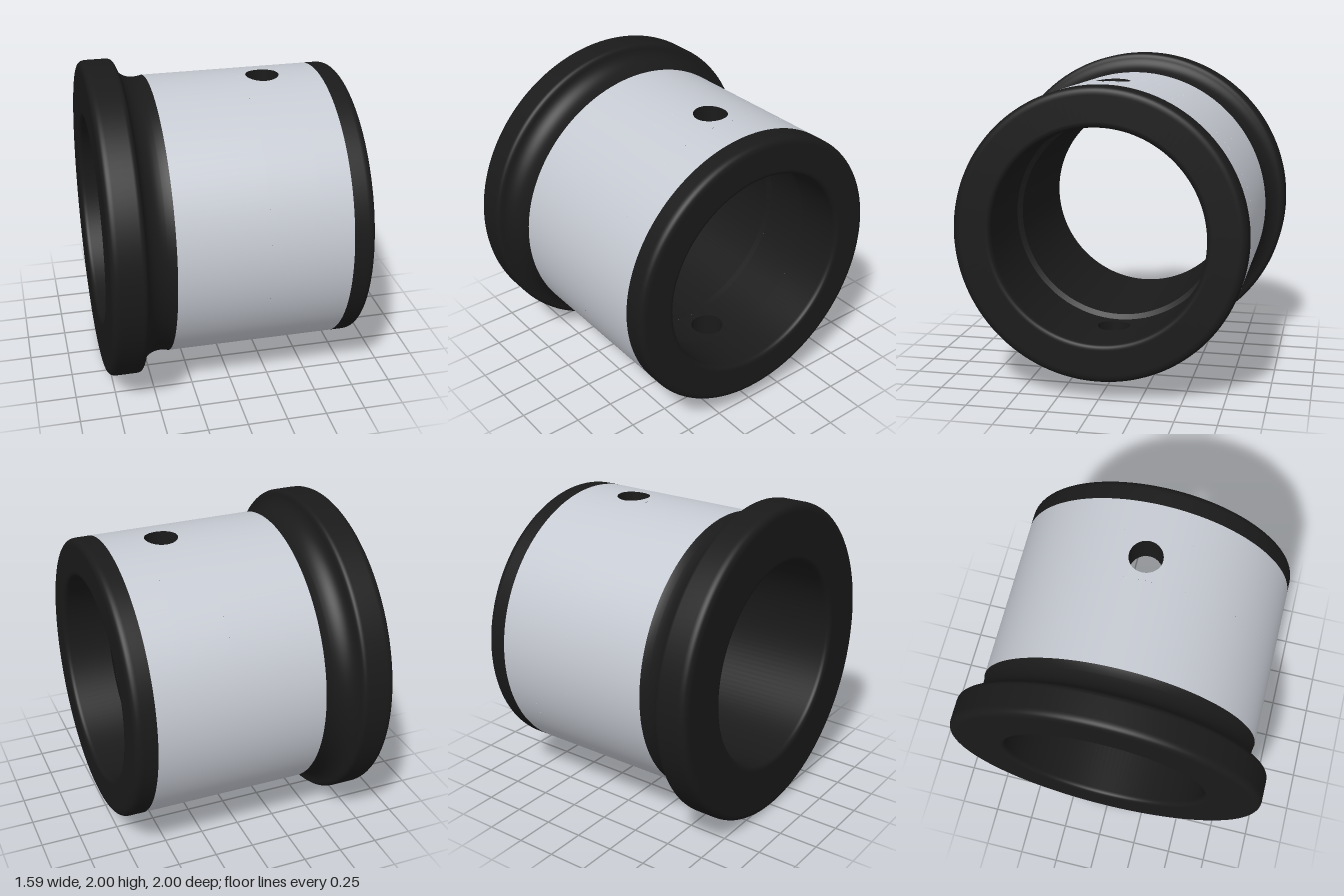
import * as THREE from 'three';

const HOLE_X = 0.31, HOLE_R = 0.103, HALF = 0.15; // radial holes and the square patch around them
const OUTER = 0.883, BORE = 0.645, GROOVE = 0.675;

// Turn a profile of (radius, axial position) points about the x axis
function turn(points, start = 0, length = Math.PI * 2, segments = 128) {
  return new THREE.LatheGeometry(points, segments, start, length).rotateZ(-Math.PI / 2);
}
const line = (...pairs) => pairs.map(([x, r]) => new THREE.Vector2(r, x));

// Square piece of cylinder wall with a round hole; sign -1 faces the axis
function holePatch(radius, sign) {
  const geo = new THREE.PlaneGeometry(1, 1, 64, 6);
  const pos = geo.attributes.position, nor = geo.attributes.normal;
  for (let i = 0; i < pos.count; i++) {
    const a = sign * (pos.getX(i) + 0.5) * Math.PI * 2, t = pos.getY(i) + 0.5;
    const c = Math.cos(a), s = Math.sin(a);
    const edge = HALF / Math.max(Math.abs(c), Math.abs(s));
    const rho = HOLE_R + (edge - HOLE_R) * t;
    const z = rho * s, y = Math.sqrt(radius * radius - z * z);
    pos.setXYZ(i, HOLE_X + rho * c, y, z);
    nor.setXYZ(i, 0, sign * y / radius, sign * z / radius);
  }
  return geo;
}

// Wall of a drilled hole, its rims following both cylinders
function holeWall() {
  const geo = new THREE.CylinderGeometry(HOLE_R, HOLE_R, 1, 64, 1, true);
  const pos = geo.attributes.position;
  for (let i = 0; i < pos.count; i++) {
    const r = pos.getY(i) > 0 ? OUTER : GROOVE, z = pos.getZ(i);
    pos.setXYZ(i, pos.getX(i) + HOLE_X, Math.sqrt(r * r - z * z), z);
  }
  return geo;
}

export function createModel() {
  const group = new THREE.Group();
  const black = new THREE.MeshStandardMaterial({ color: 0x1a1a1a });
  const silver = new THREE.MeshStandardMaterial({ color: 0xc6cad2 });
  const blackOpen = new THREE.MeshStandardMaterial({ color: 0x1a1a1a, side: THREE.DoubleSide });

  const add = (name, geometry, material) => {
    const mesh = new THREE.Mesh(geometry, material);
    mesh.name = name;
    group.add(mesh);
    return mesh;
  };

  // Flanged end: bore, end face, rounded rim and concave neck
  const flange = new THREE.Path();
  flange.moveTo(BORE, 0.135);
  flange.lineTo(BORE, -0.76);
  flange.quadraticCurveTo(BORE, -0.795, BORE + 0.035, -0.795);
  flange.lineTo(0.95, -0.795);
  flange.quadraticCurveTo(1, -0.795, 1, -0.745);
  flange.lineTo(1, -0.62);
  flange.bezierCurveTo(1, -0.59, 0.98, -0.585, 0.955, -0.58);
  flange.bezierCurveTo(0.91, -0.565, 0.875, -0.52, 0.875, -0.455);
  flange.quadraticCurveTo(0.876, -0.425, OUTER, -0.4);
  add('flange', turn(flange.getPoints(10)), black);

  // Plain end with rounded edges, running back into the bore
  const end = new THREE.Path();
  end.moveTo(OUTER, 0.66);
  end.lineTo(OUTER, 0.745);
  end.quadraticCurveTo(OUTER, 0.795, OUTER - 0.05, 0.795);
  end.lineTo(BORE + 0.035, 0.795);
  end.quadraticCurveTo(BORE, 0.795, BORE, 0.76);
  end.lineTo(BORE, 0.485);
  add('endCollar', turn(end.getPoints(10)), black);

  // Bright sleeve and bore groove either side of the drilled strip
  const lo = HOLE_X - HALF, hi = HOLE_X + HALF;
  add('sleeve', turn(line([-0.4, OUTER], [lo, OUTER])), silver);
  add('sleeve', turn(line([hi, OUTER], [0.66, OUTER])), silver);
  add('boreGrooveEdge', turn(line([0.485, BORE], [0.465, GROOVE], [0.465, GROOVE], [hi, GROOVE])), black);
  add('boreGrooveEdge', turn(line([lo, GROOVE], [0.155, GROOVE], [0.155, GROOVE], [0.135, BORE])), black);

  // Drilled strip: front and back arcs, with a holed patch above and below
  const strips = [
    ['sleeve', OUTER, 1, silver],
    ['boreGroove', GROOVE, -1, black],
  ];
  for (const [name, radius, sign, material] of strips) {
    const a = Math.asin(HALF / radius);
    const profile = sign > 0 ? line([lo, radius], [hi, radius]) : line([hi, radius], [lo, radius]);
    for (const flip of [0, Math.PI]) {
      add(name, turn(profile, flip + Math.PI / 2 + a, Math.PI - 2 * a, 60), material);
      add(name + 'HolePatch', holePatch(radius, sign), material).rotation.x = flip;
    }
  }

  // Radial holes
  for (const flip of [0, Math.PI]) add('oilHole', holeWall(), blackOpen).rotation.x = flip;

  for (const mesh of group.children) mesh.position.y = 1;
  return group;
}
